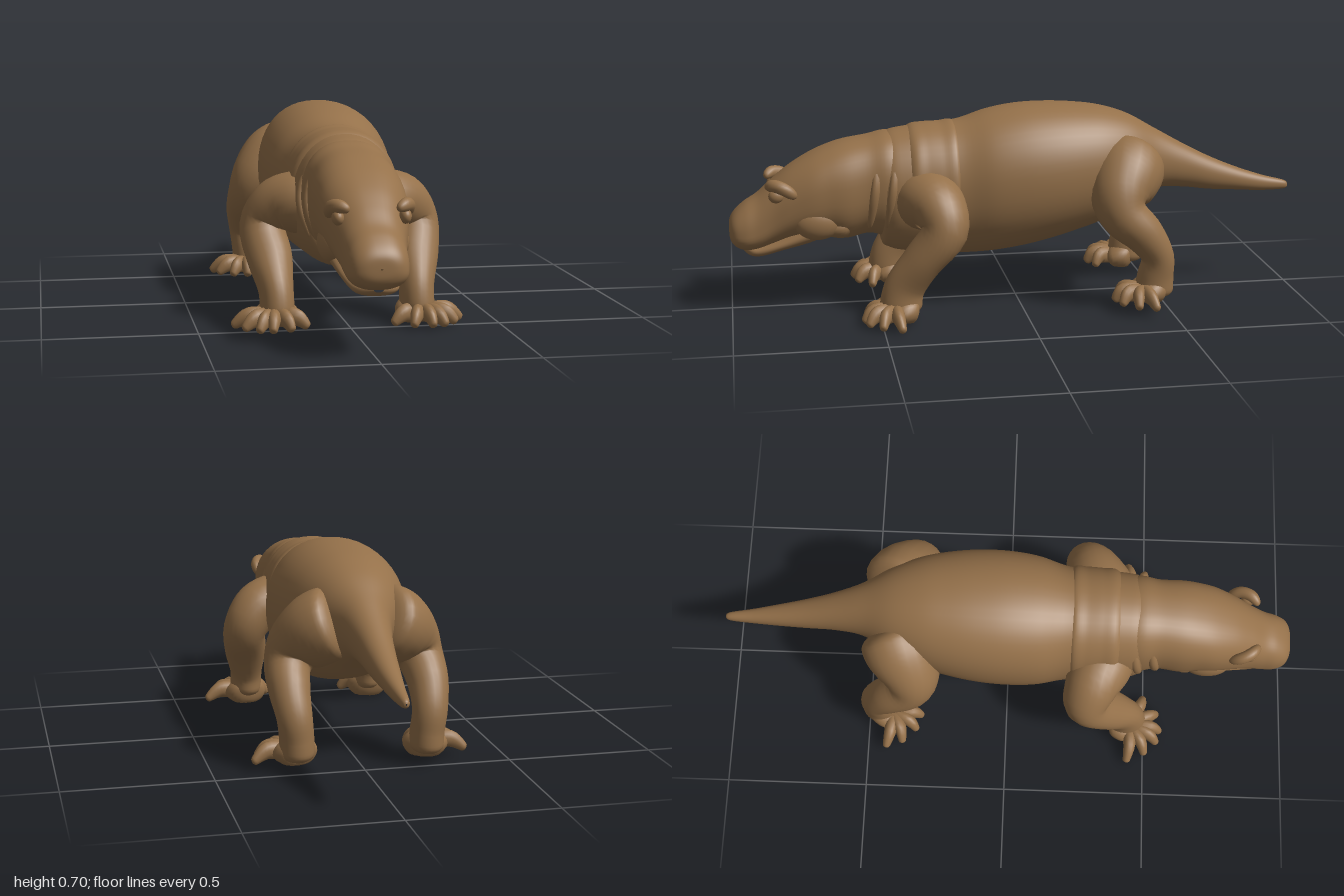
import * as THREE from 'three';

const hide = new THREE.MeshStandardMaterial({ color: 0x95714a });
hide.name = 'brown hide';

// Catmull-Rom interpolation of every column of a table, t from 0 to 1
function sample(rows, t) {
  const f = Math.min(Math.max(t, 0), 1) * (rows.length - 1);
  const i = Math.min(Math.floor(f), rows.length - 2), u = f - i;
  const p = k => rows[Math.min(Math.max(k, 0), rows.length - 1)];
  return rows[i].map((b, c) => {
    const a = p(i - 1)[c], d = p(i + 1)[c], e = p(i + 2)[c];
    return b + 0.5 * u * (d - a + u * (2 * a - 5 * b + 4 * d - e + u * (3 * (b - d) + e - a)));
  });
}

// Closed smooth skin over rings of equal point count
function skin(name, rings) {
  const n = rings[0].length, pos = [], idx = [];
  rings.forEach(r => r.forEach(v => pos.push(v.x, v.y, v.z)));
  for (let i = 0; i < rings.length - 1; i++) {
    for (let j = 0; j < n; j++) {
      const a = i * n + j, b = i * n + (j + 1) % n;
      idx.push(a, b, a + n, b, b + n, a + n);
    }
  }
  const g = new THREE.BufferGeometry();
  g.setAttribute('position', new THREE.Float32BufferAttribute(pos, 3));
  g.setIndex(idx);
  g.computeVertexNormals();
  const mesh = new THREE.Mesh(g, hide);
  mesh.name = name;
  return mesh;
}

// Loft along z; rows are [z, top, bottom, half width, height of widest point (0..1)]
function loft(name, rows, squareness = 1) {
  const rings = [], steps = rows.length * 5, n = 48;
  for (let i = 0; i <= steps; i++) {
    const [z, top, bottom, w, k] = sample(rows, i / steps);
    const mid = bottom + (top - bottom) * k, ring = [];
    for (let j = 0; j < n; j++) {
      const a = j / n * Math.PI * 2, c = Math.cos(a), s = Math.sin(a);
      const x = Math.sign(c) * Math.abs(c) ** squareness * w;
      const h = Math.sign(s) * Math.abs(s) ** squareness;
      ring.push(new THREE.Vector3(x, mid + h * (s > 0 ? top - mid : mid - bottom), z));
    }
    rings.push(ring);
  }
  return skin(name, rings);
}

// Round-ended limb; rows are [x, y, z, radius toward ref, radius across]
function limb(name, side, rows, ref, floor = -1, cap = 0.12, n = 24) {
  const rings = [], steps = rows.length * 6;
  const at = t => { const p = sample(rows, t); return new THREE.Vector3(p[0] * side, p[1], p[2]); };
  for (let i = 0; i <= steps; i++) {
    const t = (1 - Math.cos(Math.PI * i / steps)) / 2;
    const p = sample(rows, t), o = at(t);
    const T = at(t + 0.01).sub(at(t - 0.01)).normalize();
    const U = ref.clone().addScaledVector(T, -ref.dot(T)).normalize();
    const V = new THREE.Vector3().crossVectors(T, U);
    const e = Math.min(1, Math.min(t, 1 - t) / cap), m = Math.max(0.01, Math.sqrt(1 - (1 - e) ** 2));
    const ring = [];
    for (let j = 0; j < n; j++) {
      const a = j / n * Math.PI * 2;
      const v = o.clone().addScaledVector(U, Math.cos(a) * p[3] * m).addScaledVector(V, Math.sin(a) * p[4] * m);
      v.y = Math.max(v.y, floor);
      ring.push(v);
    }
    rings.push(ring);
  }
  return skin(name, rings);
}

function ball(name, x, y, z, sx, sy, sz) {
  const mesh = new THREE.Mesh(new THREE.SphereGeometry(1, 24, 16), hide);
  mesh.name = name;
  mesh.position.set(x, y, z);
  mesh.scale.set(sx, sy, sz);
  return mesh;
}

const UP = new THREE.Vector3(0, 1, 0), FRONT = new THREE.Vector3(0, 0, 1);

// Foot pad with toes fanning out to the listed [x, z] tips
function foot(name, side, heel, ball_, tips, floor) {
  const g = new THREE.Group();
  g.name = name;
  g.add(limb('footPad', side, [
    [heel[0], floor + 0.035, heel[1], 0.05, 0.06],
    [(heel[0] + ball_[0]) / 2, floor + 0.04, (heel[1] + ball_[1]) / 2, 0.05, 0.075],
    [ball_[0], floor + 0.025, ball_[1], 0.035, 0.075]], UP, floor, 0.3));
  for (const [x, z] of tips) {
    const mx = ball_[0] + (x - ball_[0]) * 0.6, mz = ball_[1] + (z - ball_[1]) * 0.6;
    g.add(limb('toe', side, [
      [ball_[0] * 0.8 + mx * 0.2, floor + 0.035, ball_[1] - 0.015, 0.03, 0.024],
      [mx, floor + 0.042, mz, 0.03, 0.022],
      [x, floor + 0.008, z, 0.013, 0.012]], UP, floor, 0.1, 14));
  }
  return g;
}

export function createModel() {
  const model = new THREE.Group();
  model.name = 'reptile';

  // Tail, barrel and chest
  model.add(loft('torsoAndTail', [
    [-1, 0.368, 0.362, 0.002, 0.5], [-0.985, 0.382, 0.35, 0.014, 0.5],
    [-0.9, 0.405, 0.348, 0.025, 0.5], [-0.8, 0.44, 0.355, 0.038, 0.5],
    [-0.7, 0.483, 0.362, 0.05, 0.5], [-0.6, 0.535, 0.375, 0.064, 0.5],
    [-0.5, 0.592, 0.375, 0.09, 0.5], [-0.4, 0.648, 0.33, 0.145, 0.5],
    [-0.3, 0.68, 0.27, 0.188, 0.5], [-0.2, 0.694, 0.237, 0.212, 0.5],
    [-0.1, 0.699, 0.21, 0.225, 0.5], [0, 0.695, 0.19, 0.227, 0.5],
    [0.1, 0.678, 0.178, 0.217, 0.5], [0.2, 0.648, 0.174, 0.19, 0.5],
    [0.3, 0.638, 0.177, 0.18, 0.5], [0.39, 0.628, 0.19, 0.176, 0.5],
    [0.45, 0.615, 0.205, 0.165, 0.5], [0.48, 0.58, 0.24, 0.13, 0.5], [0.49, 0.43, 0.41, 0.01, 0.5],
  ], 0.94));

  // Shoulder collar
  model.add(loft('shoulderCollar', [
    [0.19, 0.6, 0.22, 0.14, 0.5], [0.22, 0.644, 0.2, 0.187, 0.5], [0.27, 0.642, 0.2, 0.189, 0.5],
    [0.32, 0.641, 0.2, 0.186, 0.5], [0.37, 0.634, 0.21, 0.182, 0.5], [0.41, 0.6, 0.24, 0.14, 0.5],
  ], 0.94));

  // Neck, skull and snout
  model.add(loft('head', [
    [0.36, 0.6, 0.25, 0.14, 0.5], [0.45, 0.616, 0.245, 0.157, 0.5], [0.52, 0.603, 0.262, 0.147, 0.5],
    [0.6, 0.59, 0.247, 0.152, 0.5], [0.66, 0.572, 0.26, 0.148, 0.5], [0.72, 0.546, 0.26, 0.142, 0.48],
    [0.79, 0.505, 0.258, 0.125, 0.42], [0.85, 0.458, 0.238, 0.108, 0.38], [0.9, 0.413, 0.222, 0.1, 0.35],
    [0.945, 0.384, 0.218, 0.095, 0.36], [0.98, 0.353, 0.232, 0.08, 0.4], [0.997, 0.325, 0.257, 0.05, 0.45],
    [1, 0.293, 0.288, 0.004, 0.5],
  ], 0.85));
  model.add(loft('lowerJaw', [
    [0.54, 0.36, 0.33, 0.05, 0.5], [0.6, 0.36, 0.255, 0.125, 0.5], [0.67, 0.34, 0.258, 0.122, 0.5],
    [0.74, 0.31, 0.236, 0.11, 0.5], [0.82, 0.27, 0.216, 0.094, 0.5], [0.89, 0.245, 0.196, 0.077, 0.5],
    [0.93, 0.238, 0.197, 0.06, 0.5], [0.953, 0.23, 0.212, 0.015, 0.5],
  ], 0.9));

  for (const s of [1, -1]) {
    const tag = s > 0 ? 'left' : 'right';
    // Brow, eye, nostril, jowl
    model.add(limb(tag + 'Brow', s, [
      [0.075, 0.45, 0.87, 0.018, 0.016], [0.105, 0.46, 0.845, 0.022, 0.02],
      [0.122, 0.45, 0.81, 0.022, 0.02], [0.122, 0.42, 0.77, 0.02, 0.018]], UP, -1, 0.3, 14));
    model.add(ball(tag + 'Eye', s * 0.105, 0.424, 0.838, 0.019, 0.024, 0.026));
    model.add(ball(tag + 'Nostril', s * 0.035, 0.275, 0.968, 0.034, 0.036, 0.027));
    model.add(ball(tag + 'Jowl', s * 0.105, 0.325, 0.7, 0.04, 0.06, 0.08));
    // Skin folds down the side of the neck
    for (const [z, x] of [[0.44, 0.158], [0.5, 0.144]]) {
      model.add(limb(tag + 'NeckFold', s, [
        [x - 0.045, 0.55, z - 0.01, 0.014, 0.014], [x - 0.004, 0.47, z, 0.016, 0.014],
        [x, 0.4, z + 0.01, 0.016, 0.014], [x - 0.03, 0.3, z + 0.025, 0.014, 0.014]], FRONT, -1, 0.3, 12));
    }

    // Front leg
    model.add(limb(tag + 'FrontLeg', s, [
      [0.08, 0.39, 0.35, 0.11, 0.11], [0.15, 0.4, 0.325, 0.108, 0.105], [0.215, 0.385, 0.295, 0.094, 0.092],
      [0.262, 0.315, 0.283, 0.078, 0.078], [0.248, 0.22, 0.355, 0.068, 0.076],
      [0.236, 0.12, 0.42, 0.07, 0.058], [0.236, 0.03, 0.435, 0.075, 0.06]], FRONT, 0.005, 0.08));
    model.add(foot(tag + 'FrontFoot', s, [0.225, 0.38], [0.245, 0.465],
      [[0.385, 0.44], [0.355, 0.505], [0.31, 0.55], [0.265, 0.562], [0.2, 0.55], [0.14, 0.5]], 0.003));

    // Hind leg
    model.add(limb(tag + 'HindLeg', s, [
      [0.06, 0.5, -0.41, 0.12, 0.12], [0.13, 0.46, -0.37, 0.128, 0.125], [0.195, 0.395, -0.335, 0.104, 0.105],
      [0.228, 0.335, -0.345, 0.083, 0.08], [0.236, 0.27, -0.41, 0.07, 0.07],
      [0.23, 0.19, -0.462, 0.057, 0.06], [0.222, 0.11, -0.458, 0.064, 0.058],
      [0.22, 0.04, -0.452, 0.07, 0.06]], FRONT, 0.025, 0.08));
    model.add(foot(tag + 'HindFoot', s, [0.205, -0.48], [0.235, -0.395],
      [[0.365, -0.435], [0.345, -0.375], [0.295, -0.325], [0.24, -0.308], [0.18, -0.33]], 0.025));
  }
  return model;
}
